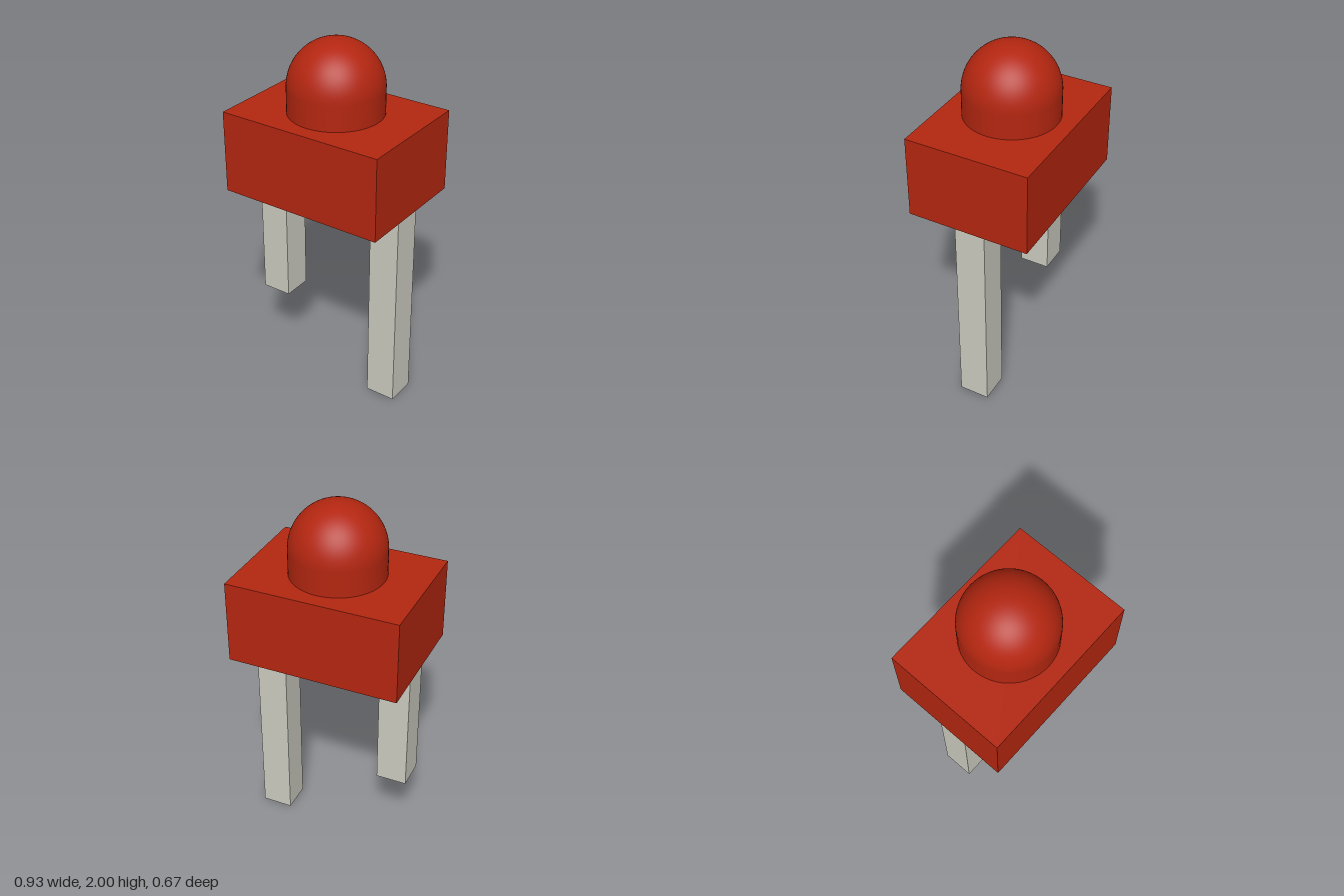
import * as THREE from 'three';

const red = new THREE.MeshStandardMaterial({ name: 'red', color: 0xb32610 });
const grey = new THREE.MeshStandardMaterial({ name: 'pale grey', color: 0xcacabf });

export function createModel() {
  const group = new THREE.Group();

  const add = (name, geometry, material, x, y) => {
    const mesh = new THREE.Mesh(geometry, material);
    mesh.name = name;
    mesh.position.set(x, y, 0);
    group.add(mesh);
  };

  // Rectangular body
  const bodyBottom = 1.16, bodyTop = 1.61;
  add('body', new THREE.BoxGeometry(0.93, bodyTop - bodyBottom, 0.674), red, 0, (bodyTop + bodyBottom) / 2);

  // Round collar with a hemispherical dome
  const radius = 0.253, domeBase = 2 - radius;
  add('collar', new THREE.CylinderGeometry(radius, radius, domeBase - bodyTop, 64, 1, true), red, 0, (domeBase + bodyTop) / 2);
  add('dome', new THREE.SphereGeometry(radius, 64, 24, 0, Math.PI * 2, 0, Math.PI / 2), red, 0, domeBase);

  // Square legs, one long and one short
  for (const [name, x, bottom] of [['longLeg', 0.357, 0], ['shortLeg', -0.357, 0.43]]) {
    add(name, new THREE.BoxGeometry(0.169, bodyBottom - bottom, 0.169), grey, x, (bodyBottom + bottom) / 2);
  }

  return group;
}
